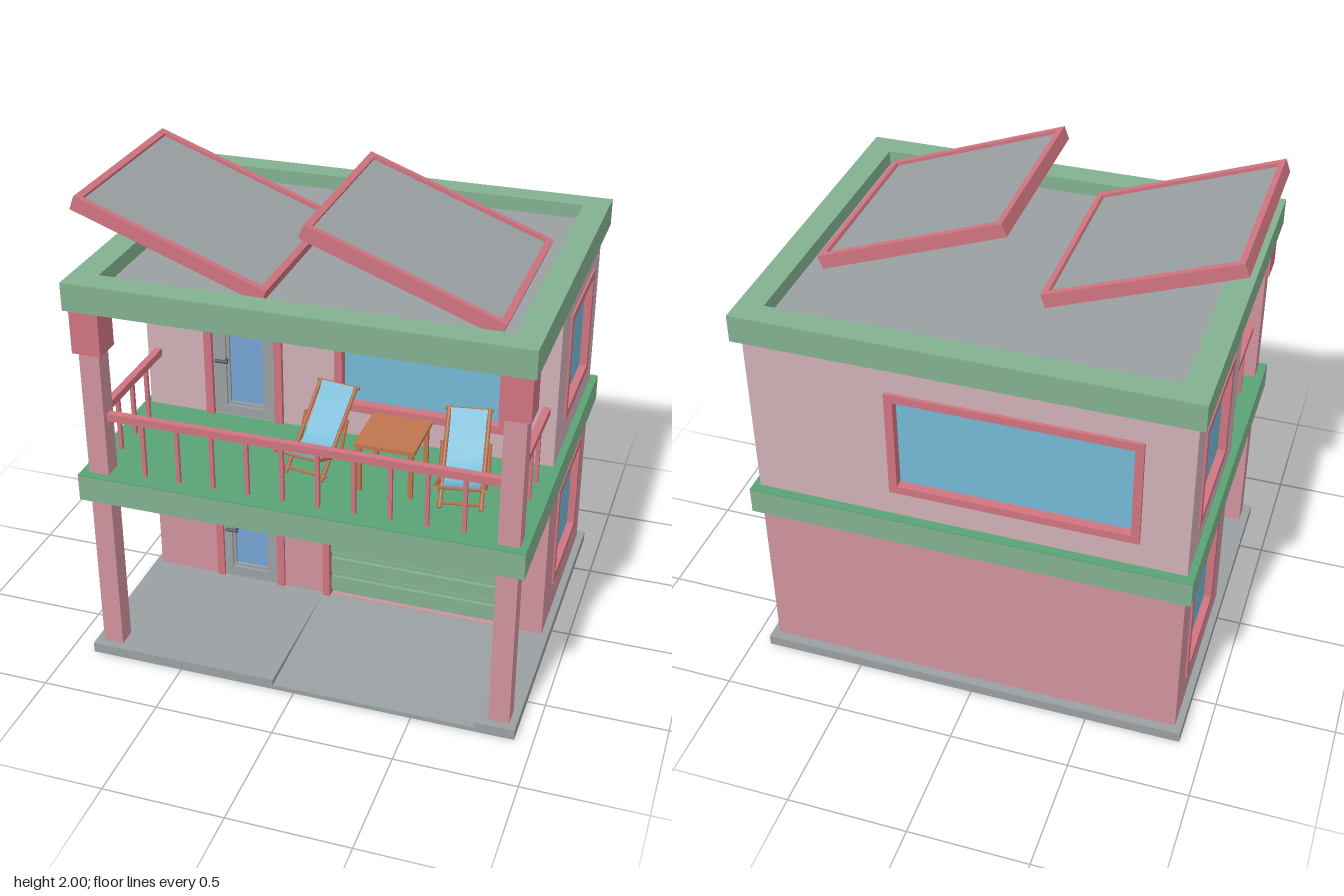
import * as THREE from 'three';

const mat = (name, color, side = THREE.FrontSide) => {
  const m = new THREE.MeshStandardMaterial({ color, side });
  m.name = name;
  return m;
};
const M = {
  green: mat('sage green', 0x82b08f),
  floor: mat('deck green', 0x5aa374),
  lower: mat('rose wall', 0xcf929d),
  upper: mat('pale pink wall', 0xcfb0b6),
  trim: mat('red trim', 0xcf7480),
  grey: mat('concrete grey', 0x9a9fa2),
  sky: mat('sky blue', 0x74b8d4, THREE.DoubleSide),
  glass: mat('door glass blue', 0x74a3d2),
  wood: mat('orange wood', 0xc0744e),
  dark: mat('dark metal', 0x50555a),
};

function add(parent, name, geo, material) {
  const mesh = new THREE.Mesh(geo, material);
  mesh.name = name;
  parent.add(mesh);
  return mesh;
}

// Box given by its bounds
function box(parent, name, material, x0, x1, y0, y1, z0, z1) {
  const m = add(parent, name, new THREE.BoxGeometry(x1 - x0, y1 - y0, z1 - z0), material);
  m.position.set((x0 + x1) / 2, (y0 + y1) / 2, (z0 + z1) / 2);
  return m;
}

// Rectangular plate with rectangular holes, each [x0, x1, y0, y1]
function plate(parent, name, material, [x0, x1, y0, y1], holes, z0, z1) {
  const path = (P, a, b, c, d) => new P([[a, c], [b, c], [b, d], [a, d]].map(p => new THREE.Vector2(...p)));
  const shape = path(THREE.Shape, x0, x1, y0, y1);
  shape.holes = holes.map(h => path(THREE.Path, ...h));
  const m = add(parent, name, new THREE.ExtrudeGeometry(shape, { depth: z1 - z0, bevelEnabled: false }), material);
  m.position.z = z0;
  return m;
}

// Square or round bar between two points
function bar(parent, name, material, a, b, r, sides = 4) {
  const p = new THREE.Vector3(...a), q = new THREE.Vector3(...b);
  const m = add(parent, name, new THREE.CylinderGeometry(r, r, p.distanceTo(q), sides), material);
  m.position.copy(p).add(q).multiplyScalar(0.5);
  m.quaternion.setFromUnitVectors(new THREE.Vector3(0, 1, 0), q.sub(p).normalize());
  return m;
}

const T = 0.03; // wall facing thickness

// Trim lining an opening; doors leave out the sill
function frame(g, name, [x0, x1, y0, y1], w, proud, sill = true) {
  box(g, name, M.trim, x0, x0 + w, y0, y1, -T, proud);
  box(g, name, M.trim, x1 - w, x1, y0, y1, -T, proud);
  box(g, name, M.trim, x0 + w, x1 - w, y1 - w, y1, -T, proud);
  if (sill) box(g, name, M.trim, x0 + w, x1 - w, y0, y0 + w, -T, proud);
}

function windowUnit(g, r, proud) {
  frame(g, 'windowFrame', r, 0.034, proud);
  box(g, 'windowGlass', M.sky, r[0] + 0.03, r[1] - 0.03, r[2] + 0.03, r[3] - 0.03, -T, -T + 0.006);
}

function doorLeaf(g, r, hole) {
  plate(g, 'doorLeaf', M.grey, r, [hole], -T, 0);
  plate(g, 'doorMoulding', M.grey, hole,
    [[hole[0] + 0.012, hole[1] - 0.012, hole[2] + 0.012, hole[3] - 0.012]], -T, -0.012);
  box(g, 'doorGlass', M.glass, ...hole, -T, -T + 0.006);
}

function handle(g, x, y) {
  bar(g, 'doorHandle', M.dark, [x + 0.02, y, 0], [x + 0.02, y, 0.02], 0.008, 10);
  bar(g, 'doorHandle', M.dark, [x - 0.025, y, 0.02], [x + 0.03, y, 0.02], 0.008, 10);
}

function facade(root, name, pos, rotY) {
  const g = new THREE.Group();
  g.name = name;
  g.position.set(...pos);
  g.rotation.y = rotY;
  root.add(g);
  return g;
}

// Folding deck chair facing +z
function deckChair(root, x, z, turn) {
  const g = facade(root, 'deckChair', [x, 0.88, z], turn);
  for (const s of [-1, 1]) {
    bar(g, 'chairBackRail', M.wood, [s * 0.08, 0.285, -0.19], [s * 0.08, 0.005, 0.12], 0.009);
    bar(g, 'chairSeatRail', M.wood, [s * 0.093, 0.14, 0.19], [s * 0.093, 0.005, -0.15], 0.009);
    bar(g, 'chairStrut', M.wood, [s * 0.093, 0.19, -0.08], [s * 0.093, 0.06, -0.02], 0.008);
  }
  for (const [y, zz] of [[0.28, -0.185], [0.135, 0.18], [0.02, 0.105], [0.015, -0.13]])
    bar(g, 'chairCrossbar', M.wood, [-0.095, y, zz], [0.095, y, zz], 0.007);
  const sling = new THREE.CatmullRomCurve3([[0.285, -0.18], [0.17, -0.09], [0.1, -0.01], [0.085, 0.06], [0.142, 0.185]]
    .map(([y, zz]) => new THREE.Vector3(0, y, zz)));
  const geo = new THREE.PlaneGeometry(0.145, 1, 1, 10), p = geo.attributes.position;
  for (let i = 0; i < p.count; i++) {
    const c = sling.getPoint(0.5 - p.getY(i));
    p.setXYZ(i, p.getX(i), c.y, c.z);
  }
  geo.computeVertexNormals();
  add(g, 'chairSling', geo, M.sky);
}

function solarPanel(root, x) {
  const g = facade(root, 'solarPanel', [x, 1.83, 0.16], 0);
  g.rotation.z = -0.357;
  const L = 0.4075, D = 0.41, h = 0.029, w = 0.027;
  for (const s of [-1, 1]) {
    const a = s * (L - w / 2), b = s * (D - w / 2);
    box(g, 'panelFrame', M.trim, a - w / 2, a + w / 2, -h, h, -D, D);
    box(g, 'panelFrame', M.trim, -L + w, L - w, -h, h, b - w / 2, b + w / 2);
  }
  box(g, 'panelSurface', M.grey, -L + w, L - w, -0.015, 0.014, -D + w, D - w);
  bar(g, 'panelProp', M.grey, [0, -0.18, 0], [0, -0.01, 0], 0.032, 16);
}

export function createModel() {
  const root = new THREE.Group();
  root.name = 'house';
  const X0 = -0.9, X1 = 0.925, Z = 0.745, WX0 = -0.87, WX1 = 0.895, WZ0 = -0.705, WZ1 = 0.095;

  // Ground slab with a sloping driveway
  box(root, 'groundSlab', M.grey, X0, X1, 0, 0.045, -Z, WZ1);
  box(root, 'groundSlab', M.grey, X0, -0.09, 0, 0.045, WZ1, Z);
  box(root, 'groundSlab', M.grey, 0.76, X1, 0, 0.045, WZ1, Z);
  const ramp = box(root, 'driveway', M.grey, -0.09, 0.76, 0, 0.045, WZ1, Z);
  const rp = ramp.geometry.attributes.position;
  for (let i = 0; i < rp.count; i++) if (rp.getY(i) > 0 && rp.getZ(i) > 0) rp.setY(i, -0.0025);
  ramp.geometry.computeVertexNormals();

  // Balcony slab and roof with a sunken deck
  box(root, 'balconySlab', M.green, X0, X1, 0.765, 0.876, -Z, Z);
  box(root, 'balconyFloor', M.floor, X0, X1, 0.876, 0.88, -Z, Z);
  box(root, 'roofSlab', M.green, X0, X1, 1.605, 1.65, -Z, Z);
  const rim = plate(root, 'roofRim', M.green, [X0, X1, -Z, Z], [[-0.79, 0.82, -0.635, 0.64]], 0, 0.07);
  rim.rotation.x = -Math.PI / 2;
  rim.position.y = 1.65;
  box(root, 'roofDeck', M.grey, -0.79, 0.82, 1.65, 1.658, -0.64, 0.635);

  // Walls of both storeys: a core with pierced facings
  const garage = [-0.085, 0.755, 0.047, 0.575];
  const door1 = [-0.59, -0.27, 0.047, 0.725], door2 = [-0.605, -0.26, 0.882, 1.415];
  const bigWin = [-0.03, 0.7, 1.0, 1.475], backWin = [-0.325, 0.68, 1.0, 1.475];
  const sides = { front: facade(root, 'frontFacade', [0, 0, WZ1], 0),
    back: facade(root, 'backFacade', [0, 0, WZ0], Math.PI),
    plusX: facade(root, 'leftFacade', [WX1, 0, 0], Math.PI / 2),
    minusX: facade(root, 'rightFacade', [WX0, 0, 0], -Math.PI / 2) };
  const storeys = [
    { m: M.lower, y0: 0.045, y1: 0.765, wy: [0.19, 0.665], front: [garage, door1], back: [] },
    { m: M.upper, y0: 0.88, y1: 1.605, wy: [1.0, 1.475], front: [door2, bigWin], back: [backWin] }];
  for (const s of storeys) {
    box(root, 'wallCore', s.m, WX0 + T, WX1 - T, s.y0, s.y1, WZ0 + T, WZ1 - T);
    plate(sides.front, 'frontWall', s.m, [WX0, WX1, s.y0, s.y1], s.front, -T, 0);
    plate(sides.back, 'backWall', s.m, [-WX1, -WX0, s.y0, s.y1], s.back, -T, 0);
    const wl = [0.075, 0.565, ...s.wy], wr = [-0.565, -0.075, ...s.wy];
    plate(sides.plusX, 'sideWall', s.m, [-WZ1 + T, -WZ0 - T, s.y0, s.y1], [wl], -T, 0);
    plate(sides.minusX, 'sideWall', s.m, [WZ0 + T, WZ1 - T, s.y0, s.y1], [wr], -T, 0);
    windowUnit(sides.plusX, wl, 0.008);
    windowUnit(sides.minusX, wr, 0.008);
  }
  windowUnit(sides.front, bigWin, 0.02);
  windowUnit(sides.back, backWin, 0.015);

  // Entrance door with transom, balcony door
  const f = sides.front;
  frame(f, 'doorFrame', door1, 0.033, 0.014, false);
  box(f, 'doorFrame', M.trim, -0.557, -0.303, 0.54, 0.575, -T, 0.012);
  doorLeaf(f, [-0.557, -0.303, 0.047, 0.54], [-0.52, -0.345, 0.095, 0.5]);
  doorLeaf(f, [-0.557, -0.303, 0.575, 0.692], [-0.535, -0.325, 0.602, 0.672]);
  handle(f, -0.515, 0.3);
  frame(f, 'doorFrame', door2, 0.034, 0.02, false);
  doorLeaf(f, [-0.571, -0.294, 0.882, 1.381], [-0.515, -0.343, 0.925, 1.33]);
  handle(f, -0.53, 1.14);

  // Garage door with ribbed panels
  frame(f, 'garageFrame', garage, 0.03, 0.025, false);
  box(f, 'garageDoor', M.green, -0.055, 0.725, 0.047, 0.545, -T, -0.022);
  for (let i = 0; i < 5; i++) {
    const y = 0.07 + i * 0.0975;
    box(f, 'garagePanel', M.green, -0.055, 0.725, y, Math.min(y + 0.066, 0.545), -0.022, -0.004);
    if (i < 4) box(f, 'garageRib', M.green, -0.055, 0.725, y + 0.071, y + 0.089, -0.022, -0.012);
    box(f, 'garageGroove', M.dark, -0.055, 0.725, y - 0.0085, y, -0.022, -0.018);
  }

  // Columns with capitals
  for (const x of [-0.8225, 0.8525]) {
    box(root, 'lowerColumn', M.lower, x - 0.0425, x + 0.0425, 0.045, 0.765, 0.63, 0.71);
    box(root, 'upperColumn', M.lower, x - 0.0425, x + 0.0425, 0.88, 1.42, 0.63, 0.71);
    box(root, 'columnCapital', M.trim, x - 0.06, x + 0.06, 1.42, 1.605, 0.61, 0.73);
    // Side railing
    box(root, 'sideRail', M.trim, x - 0.015, x + 0.015, 1.115, 1.147, WZ1, 0.63);
    for (const z of [0.5, 0.365, 0.23]) box(root, 'baluster', M.trim, x - 0.008, x + 0.008, 0.88, 1.115, z - 0.008, z + 0.008);
  }
  // Front railing
  box(root, 'frontRail', M.trim, -0.78, 0.81, 1.115, 1.147, 0.655, 0.685);
  for (let i = 0; i < 10; i++) {
    const x = -0.638 + i * 0.1455;
    box(root, 'baluster', M.trim, x - 0.008, x + 0.008, 0.88, 1.115, 0.662, 0.678);
  }

  // Balcony table and chairs
  box(root, 'tableTop', M.wood, 0.185, 0.43, 1.08, 1.096, 0.26, 0.52);
  for (const x of [0.203, 0.412]) for (const z of [0.278, 0.502])
    box(root, 'tableLeg', M.wood, x - 0.009, x + 0.009, 0.88, 1.08, z - 0.009, z + 0.009);
  deckChair(root, -0.015, 0.37, -0.16);
  deckChair(root, 0.6, 0.41, 0.16);

  // Tilted rooftop panels
  for (const x of [-0.533, 0.382]) solarPanel(root, x);
  return root;
}
